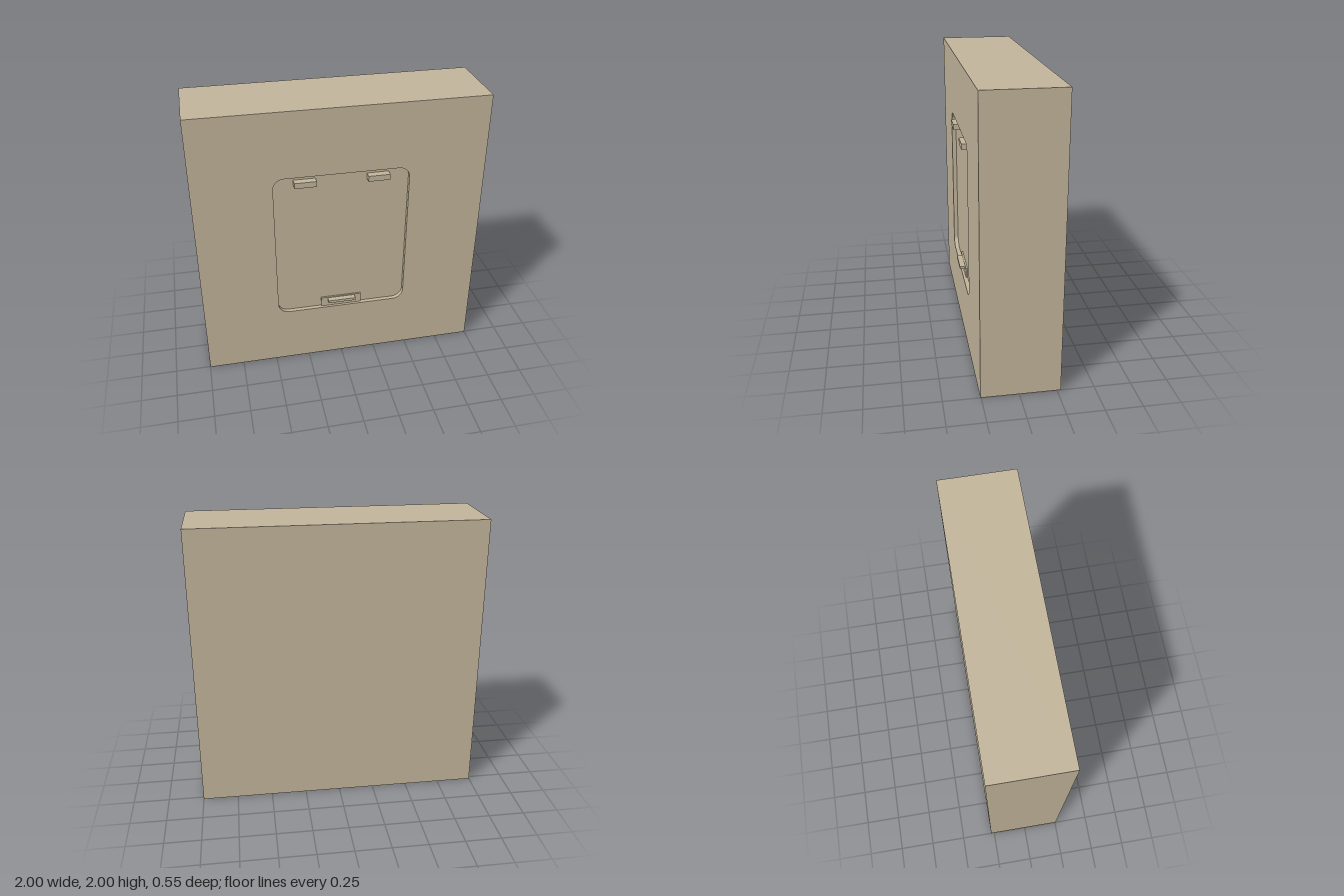
import * as THREE from 'three';

const BACK = -0.275, FLOOR = 0.225, FRONT = 0.255, TIP = 0.275;

// Trace a rounded rectangle onto a path
function roundedRect(path, x0, y0, x1, y1, r) {
  path.moveTo(x0 + r, y0);
  path.lineTo(x1 - r, y0);
  path.absarc(x1 - r, y0 + r, r, -Math.PI / 2, 0);
  path.lineTo(x1, y1 - r);
  path.absarc(x1 - r, y1 - r, r, 0, Math.PI / 2);
  path.lineTo(x0 + r, y1);
  path.absarc(x0 + r, y1 - r, r, Math.PI / 2, Math.PI);
  path.lineTo(x0, y0 + r);
  path.absarc(x0 + r, y0 + r, r, Math.PI, Math.PI * 1.5);
  return path;
}

export function createModel() {
  const model = new THREE.Group();
  model.name = 'wallPanel';
  const material = new THREE.MeshStandardMaterial({ color: 0xc2b59b });

  function add(name, geometry) {
    const mesh = new THREE.Mesh(geometry, material);
    mesh.name = name;
    model.add(mesh);
    return mesh;
  }

  // Box given by its limits on each axis
  function block(name, x0, x1, y0, y1, z0, z1) {
    add(name, new THREE.BoxGeometry(x1 - x0, y1 - y0, z1 - z0))
      .position.set((x0 + x1) / 2, (y0 + y1) / 2, (z0 + z1) / 2);
  }

  // Thick slab; its front is the floor of the recess
  block('slab', -1, 1, 0, 2, BACK, FLOOR);

  // Front layer with the rounded recess cut through it
  const face = new THREE.Shape([
    new THREE.Vector2(-1, 0), new THREE.Vector2(1, 0),
    new THREE.Vector2(1, 2), new THREE.Vector2(-1, 2),
  ]);
  face.holes.push(roundedRect(new THREE.Path(), -0.465, 0.43, 0.465, 1.53, 0.075));
  add('recessedFront', new THREE.ExtrudeGeometry(face, {
    depth: FRONT - FLOOR, bevelEnabled: false, curveSegments: 10,
  })).position.z = FLOOR;

  // Pair of upper mounting tabs
  block('leftUpperTab', 0.175, 0.325, 1.46, 1.5, FLOOR, TIP);
  block('rightUpperTab', -0.325, -0.175, 1.46, 1.5, FLOOR, TIP);

  // Lower latch: shallow plate with a thin tab
  block('latchPlate', -0.147, 0.147, 0.43, 0.503, FLOOR, 0.237);
  block('latchTab', -0.1, 0.1, 0.477, 0.498, 0.237, TIP);

  return model;
}
